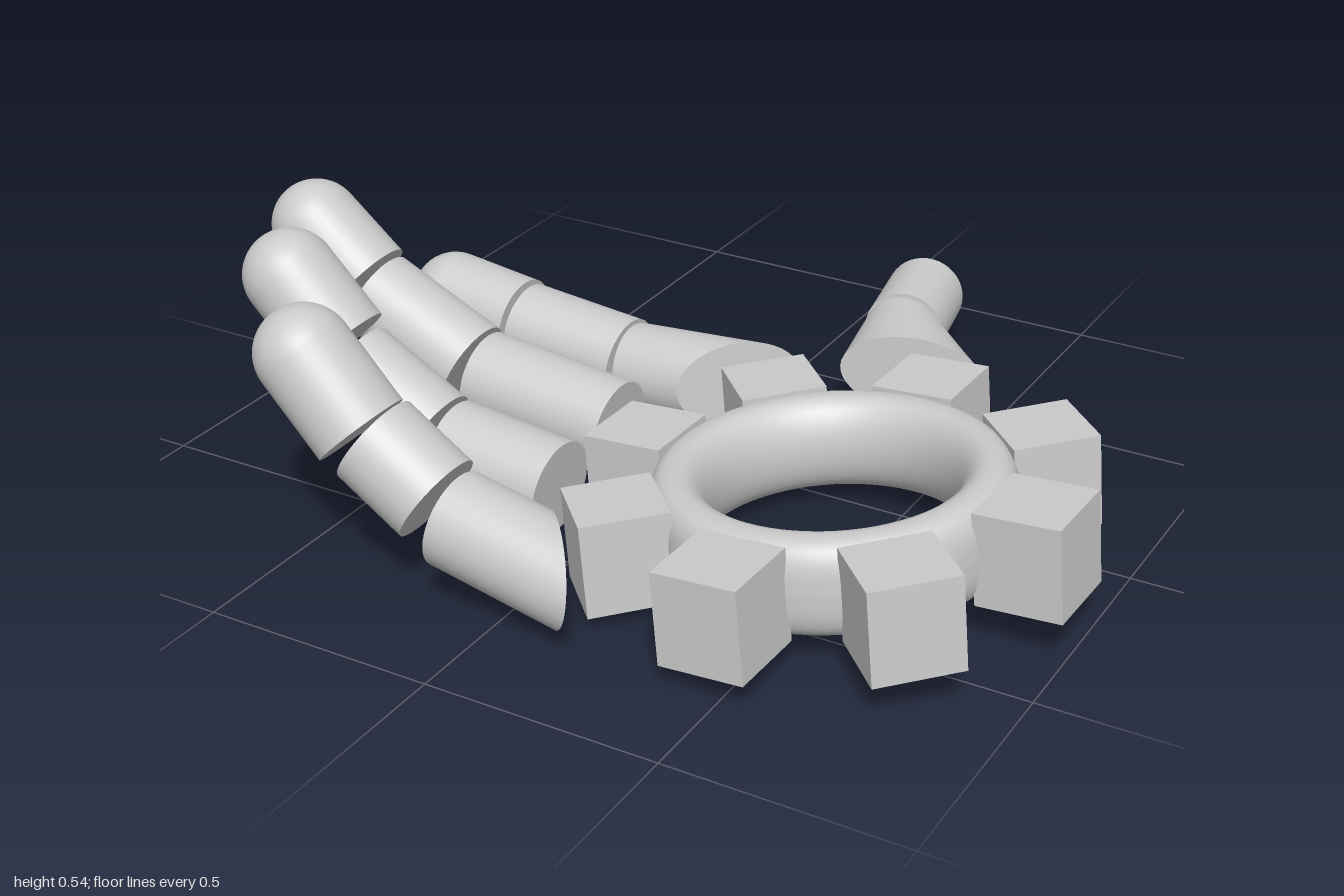
import * as THREE from 'three';

const material = new THREE.MeshStandardMaterial({ color: 0xcccccc });

function addMesh(parent, name, geometry) {
  const mesh = new THREE.Mesh(geometry, material);
  mesh.name = name;
  parent.add(mesh);
  return mesh;
}

// Round finger segment from a (tip side) to b (palm side).
// slant cuts the palm end at an angle, flare widens it to one side, dome rounds the tip.
function addSegment(parent, name, a, b, r, { slant = 0, flare = 0, dome = 0 } = {}) {
  const start = new THREE.Vector3(...a), end = new THREE.Vector3(...b);
  const axis = end.clone().sub(start);
  const length = axis.length();
  axis.normalize();
  const side = new THREE.Vector3(0, 1, 0).cross(axis).normalize();
  const up = axis.clone().cross(side);

  const geometry = new THREE.CylinderGeometry(r, r, length, 40, 1);
  geometry.translate(0, length / 2, 0);
  if (slant || flare) {
    const p = geometry.attributes.position;
    for (let i = 0; i < p.count; i++) {
      if (p.getY(i) < length / 2) continue;
      const z = p.getZ(i);
      p.setY(i, p.getY(i) + slant * z);
      p.setZ(i, z + flare * (z + r) / (2 * r));
    }
    geometry.computeVertexNormals();
  }
  const segment = new THREE.Group();
  segment.name = name;
  addMesh(segment, name + 'Body', geometry);
  if (dome) {
    const cap = new THREE.SphereGeometry(r, 40, 16, 0, Math.PI * 2, Math.PI / 2, Math.PI / 2);
    cap.scale(1, dome, 1);
    addMesh(segment, name + 'Dome', cap);
  }
  segment.quaternion.setFromRotationMatrix(new THREE.Matrix4().makeBasis(up, axis, side));
  segment.position.copy(start);
  parent.add(segment);
}

function createPalm() {
  const palm = new THREE.Group();
  palm.name = 'gearPalm';

  // Rounded ring, with a flatter outer wall
  const profile = [];
  const n = 40;
  for (let i = 0; i <= n; i++) {
    const t = (i / n) * Math.PI * 2;
    const c = Math.cos(t), s = Math.sin(t);
    const power = c > 0 ? 0.75 : 1;
    profile.push(new THREE.Vector2(
      0.306 + 0.061 * Math.sign(c) * Math.abs(c) ** power,
      0.102 * Math.sign(s) * Math.abs(s) ** power));
  }
  addMesh(palm, 'ring', new THREE.LatheGeometry(profile, 72));

  // Eight teeth around the ring
  for (let i = 0; i < 8; i++) {
    const angle = (i / 8) * Math.PI * 2;
    const tooth = addMesh(palm, 'tooth', new THREE.BoxGeometry(0.18, 0.196, 0.182));
    tooth.position.set(0.434 * Math.cos(angle), 0, -0.434 * Math.sin(angle));
    tooth.rotation.y = angle;
  }
  palm.position.set(0.473, 0.155, 0.268);
  palm.rotation.set(0, -0.03, 0.088, 'ZYX');
  return palm;
}

// Each finger lists its tip, middle and base segments as [tip side, palm side]
const fingers = [
  { name: 'indexFinger', r: 0.098, slant: 1.03, parts: [
    [[-0.738, 0.162, -0.178], [-0.545, 0.142, -0.17]],
    [[-0.532, 0.134, -0.168], [-0.258, 0.112, -0.161]],
    [[-0.238, 0.104, -0.161], [0.03, 0.128, -0.153]]] },
  { name: 'middleFinger', r: 0.1, slant: 0, parts: [
    [[-0.9, 0.412, 0.11], [-0.765, 0.305, 0.113]],
    [[-0.74, 0.277, 0.114], [-0.49, 0.165, 0.119]],
    [[-0.45, 0.15, 0.121], [-0.107, 0.118, 0.13]]] },
  { name: 'ringFinger', r: 0.1, slant: 0, parts: [
    [[-0.745, 0.435, 0.4], [-0.615, 0.308, 0.402]],
    [[-0.59, 0.262, 0.403], [-0.385, 0.155, 0.408]],
    [[-0.335, 0.14, 0.41], [-0.073, 0.117, 0.417]]] },
  { name: 'littleFinger', r: 0.1, slant: -0.95, parts: [
    [[-0.475, 0.445, 0.7], [-0.345, 0.31, 0.702]],
    [[-0.315, 0.298, 0.702], [-0.17, 0.207, 0.705]],
    [[-0.13, 0.175, 0.706], [0.1, 0.132, 0.712]]] },
];

export function createModel() {
  const hand = new THREE.Group();
  hand.name = 'gearHand';
  hand.add(createPalm());

  for (const { name, r, slant, parts } of fingers) {
    const finger = new THREE.Group();
    finger.name = name;
    addSegment(finger, 'tip', ...parts[0], r, { dome: 1 });
    addSegment(finger, 'middle', ...parts[1], r);
    addSegment(finger, 'base', ...parts[2], r, { slant });
    hand.add(finger);
  }

  // Thumb with a base that flares toward the palm
  const thumb = new THREE.Group();
  thumb.name = 'thumb';
  addSegment(thumb, 'tip', [0.19, 0.135, -0.77], [0.235, 0.14, -0.557], 0.09, { dome: 0.55 });
  addSegment(thumb, 'base', [0.245, 0.142, -0.533], [0.288, 0.15, -0.322], 0.09, { flare: 0.145 });
  hand.add(thumb);
  return hand;
}
